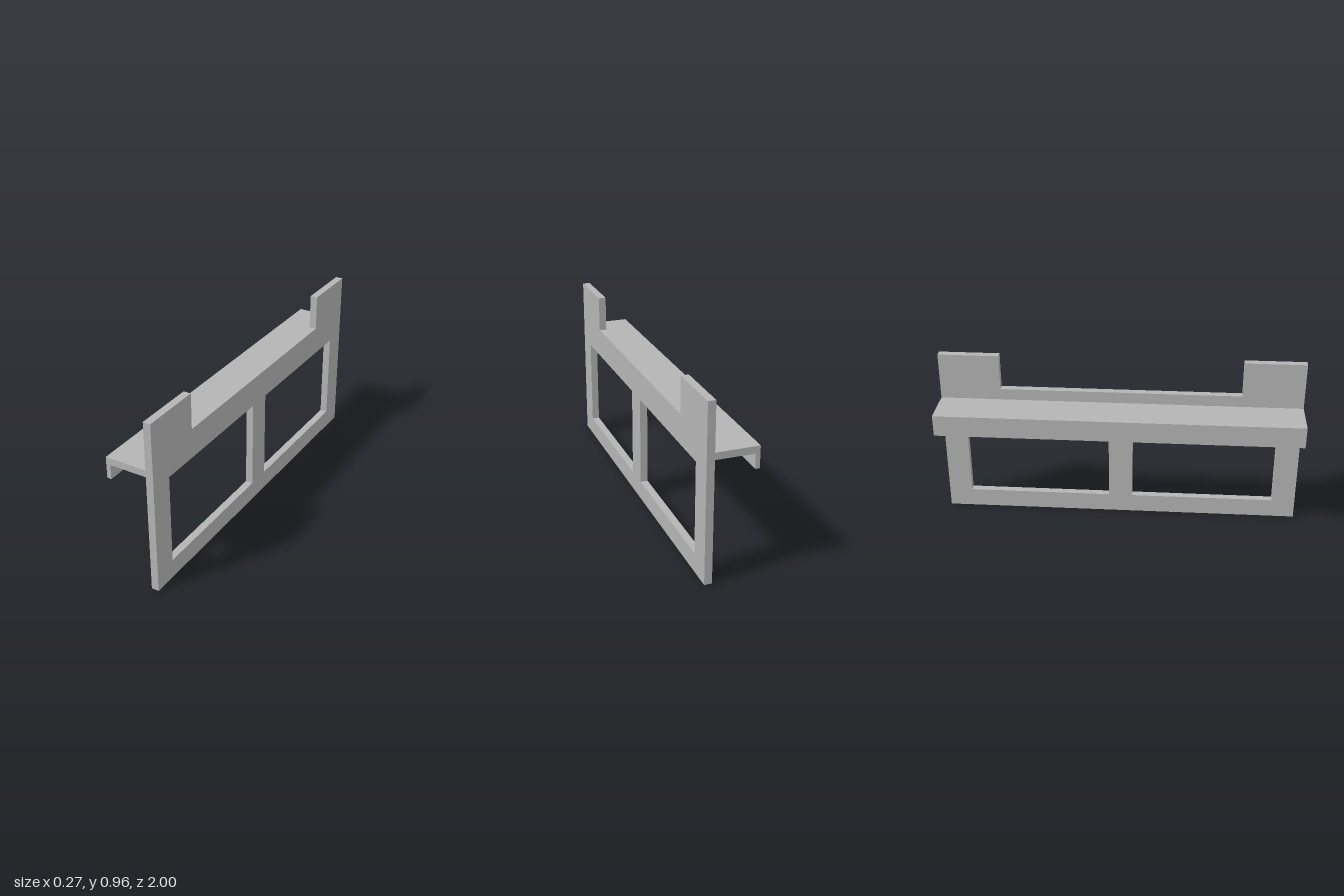
import * as THREE from 'three';

const grey = new THREE.MeshStandardMaterial({ color: 0xb4b4b4 });
grey.name = 'plain grey';

// Extrudes a flat outline without bevels
function extrude(name, shape, depth) {
  const geometry = new THREE.ExtrudeGeometry(shape, { depth, bevelEnabled: false });
  const mesh = new THREE.Mesh(geometry, grey);
  mesh.name = name;
  return mesh;
}

const outline = (points, Type = THREE.Shape) => new Type(points.map(([x, y]) => new THREE.Vector2(x, y)));

export function createModel() {
  const model = new THREE.Group();
  model.name = 'windowedPanelWithShelf';
  const inner = 0.094, outer = 0.135;

  // Upright panel with raised end posts and two window openings
  const panelShape = outline([
    [-1, 0], [1, 0], [1, 0.96], [0.665, 0.96],
    [0.665, 0.763], [-0.665, 0.763], [-0.665, 0.96], [-1, 0.96],
  ]);
  for (const s of [-1, 1]) {
    panelShape.holes.push(outline([
      [s * 0.067, 0.105], [s * 0.067, 0.602], [s * 0.87, 0.602], [s * 0.87, 0.105],
    ], THREE.Path));
  }
  const panel = extrude('panel', panelShape, outer - inner);
  panel.rotation.y = Math.PI / 2;
  panel.position.x = inner;
  model.add(panel);

  // Shelf with a downturned lip, running the full length
  const shelf = extrude('shelfWithLip', outline([
    [-0.135, 0.582], [-0.111, 0.582], [-0.111, 0.662],
    [inner, 0.662], [inner, 0.7], [-0.135, 0.7],
  ]), 2);
  shelf.position.z = -1;
  model.add(shelf);

  return model;
}
